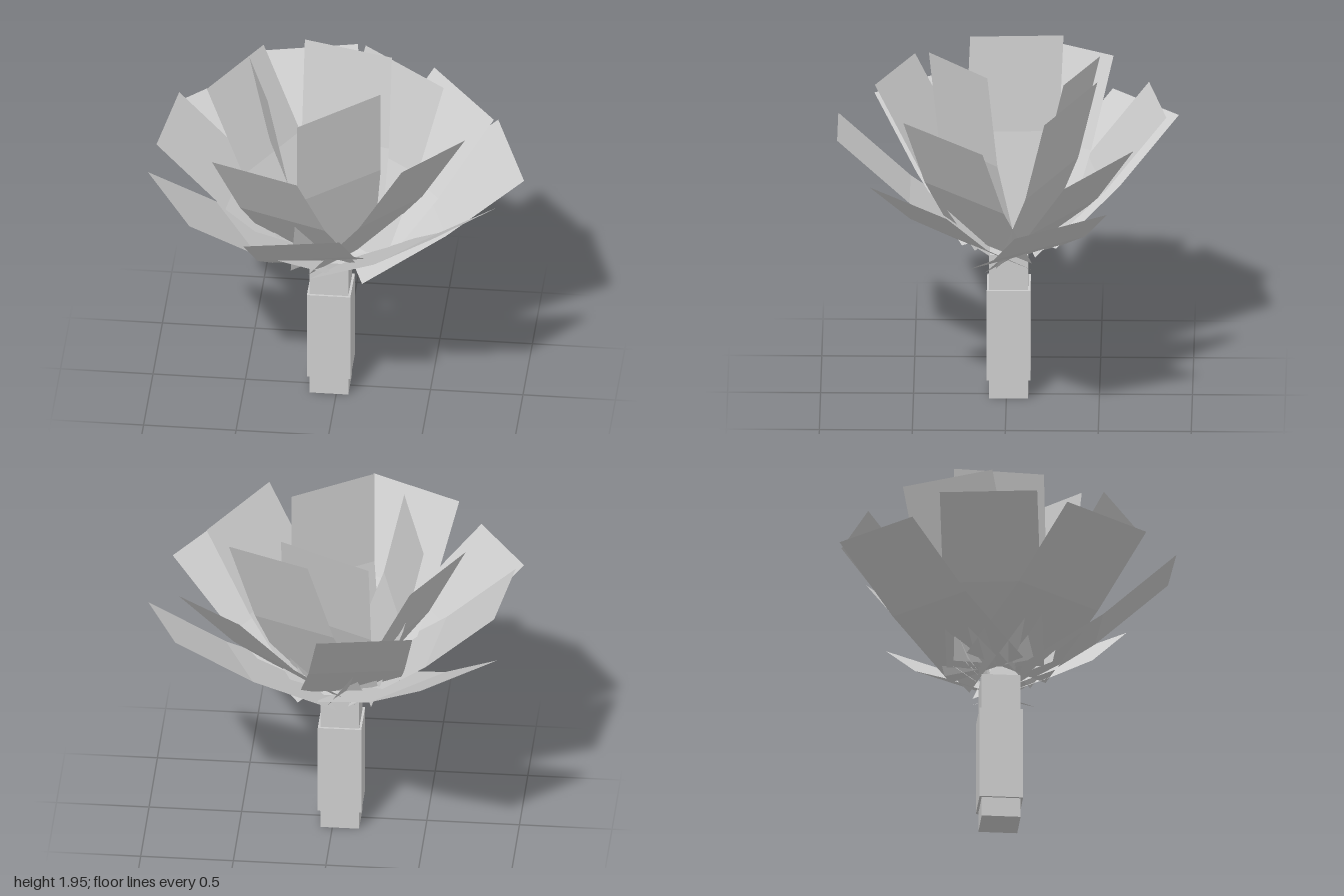
import * as THREE from 'three';

const CENTRE = new THREE.Vector3(-0.04, 0, -0.012);
const LENGTH = 1.045;      // base-to-tip chord of every leaf
const BASE_RADIUS = 0.1;   // distance of the leaf base from the stem axis
const BULGE = 0.034;       // outward bow of the middle crease

// The two tip corners of each leaf, from the lowest whorl to the innermost
const TIPS = [
  [[1.0, 1.34, -0.06], [0.81, 1.40, -0.55]],
  [[-0.55, 1.40, -0.92], [-0.93, 1.39, -0.56]],
  [[0.59, 1.46, 0.73], [0.90, 1.41, 0.31]],
  [[-1.0, 1.48, 0.27], [-0.73, 1.445, 0.72]],
  [[-0.42, 1.46, 0.91], [0.10, 1.52, 0.91]],
  [[-0.90, 1.555, -0.41], [-0.97, 1.555, 0.11]],
  [[0.81, 1.55, -0.32], [0.45, 1.62, -0.69]],
  [[0.02, 1.63, -0.86], [-0.49, 1.62, -0.76]],
  [[0.40, 1.755, 0.55], [0.70, 1.70, 0.12]],
  [[-0.63, 1.72, 0.50], [-0.15, 1.74, 0.71]],
  [[-0.46, 1.785, -0.57], [-0.72, 1.785, -0.11]],
  [[0.55, 1.81, -0.21], [0.10, 1.87, -0.49]],
  [[0.26, 1.92, -0.31], [-0.23, 1.88, -0.50]],
  [[-0.51, 1.88, -0.30], [-0.36, 1.935, 0.20]],
  [[-0.18, 1.92, 0.42], [0.24, 1.95, 0.10]],
];

// A strip of constant width, swept down from its tip edge and creased halfway
function leafGeometry([p, q]) {
  const a = new THREE.Vector3(...p), b = new THREE.Vector3(...q);
  const mid = a.clone().add(b).multiplyScalar(0.5).sub(CENTRE);
  const edge = b.clone().sub(a).normalize();
  const out = new THREE.Vector3(-edge.z, 0, edge.x).normalize();
  if (out.dot(mid) < 0) out.negate();
  const up = new THREE.Vector3().crossVectors(edge, out).normalize();
  if (up.y < 0) up.negate();

  const run = out.dot(mid) - BASE_RADIUS;
  const rise = Math.sqrt(LENGTH * LENGTH - run * run);
  const profile = [
    [-run, -rise],
    [-run / 2 + BULGE * rise / LENGTH, -rise / 2 - BULGE * run / LENGTH],
    [0, 0],
  ];
  const positions = [], index = [];
  profile.forEach(([o, u], i) => {
    for (const corner of [a, b]) {
      const v = corner.clone().addScaledVector(out, o).addScaledVector(up, u);
      positions.push(v.x, v.y, v.z);
    }
    if (i) {
      const k = 2 * i;
      index.push(k - 2, k - 1, k + 1, k - 2, k + 1, k);
    }
  });
  const geometry = new THREE.BufferGeometry();
  geometry.setAttribute('position', new THREE.Float32BufferAttribute(positions, 3));
  geometry.setIndex(index);
  geometry.computeVertexNormals();
  return geometry;
}

export function createModel() {
  const model = new THREE.Group();
  const stemMaterial = new THREE.MeshStandardMaterial({ color: 0xcccccc, flatShading: true });
  const leafMaterial = new THREE.MeshStandardMaterial({
    color: 0xcccccc, flatShading: true, side: THREE.DoubleSide,
  });

  // Square stem with a wider sleeve around it
  const addBox = (name, width, y0, y1) => {
    const box = new THREE.Mesh(new THREE.BoxGeometry(width, y1 - y0, width), stemMaterial);
    box.position.set(CENTRE.x, (y0 + y1) / 2, CENTRE.z);
    box.name = name;
    model.add(box);
  };
  addBox('stem', 0.21, 0, 0.84);
  addBox('stemSleeve', 0.235, 0.11, 0.635);

  // Crown of creased leaves
  const crown = new THREE.Group();
  crown.name = 'crown';
  TIPS.forEach((tip, i) => {
    const leaf = new THREE.Mesh(leafGeometry(tip), leafMaterial);
    leaf.name = `leaf${i + 1}`;
    crown.add(leaf);
  });
  model.add(crown);
  return model;
}
